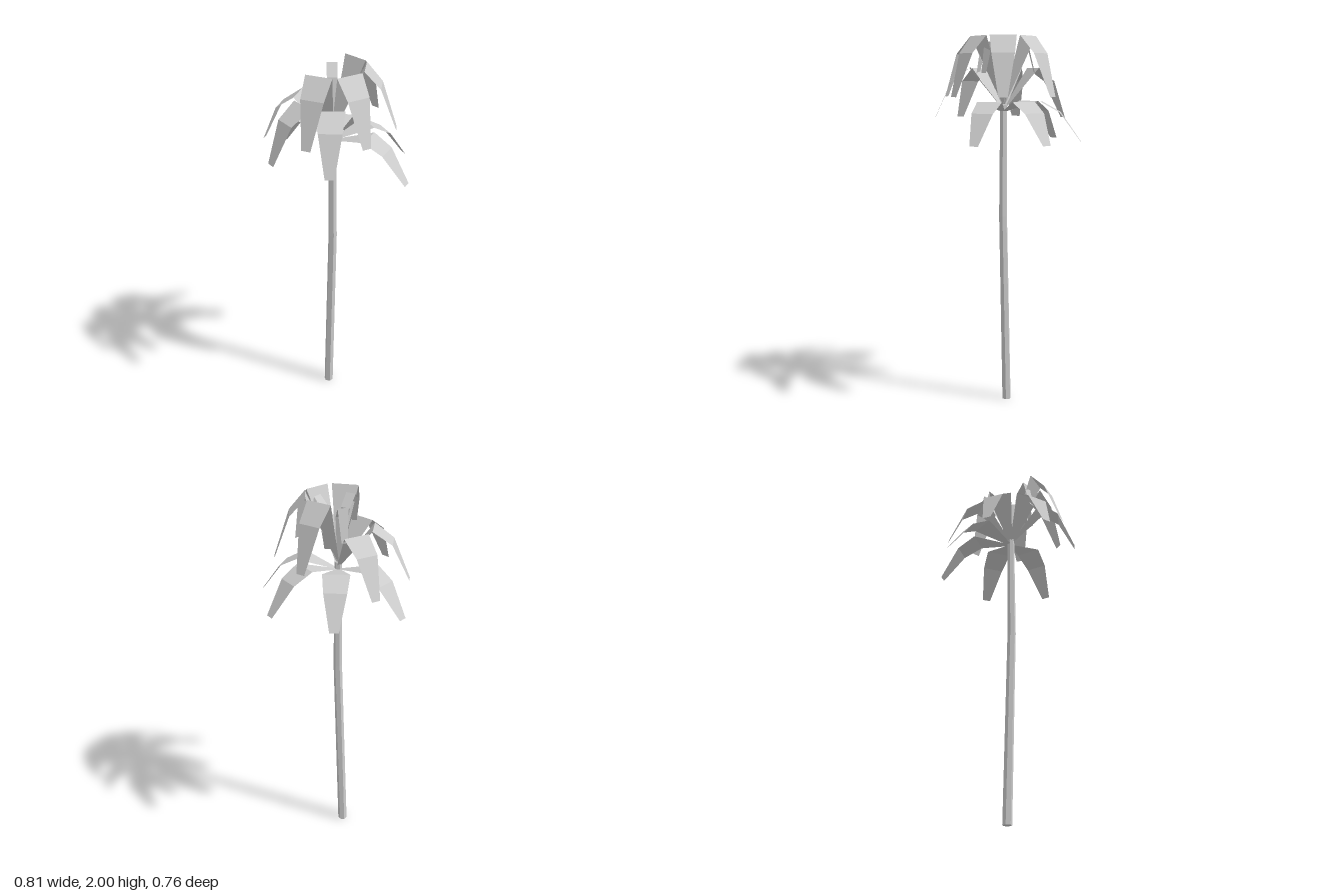
import * as THREE from 'three';

const CENTRE = new THREE.Vector3(0.003, 0, 0.018);

// Folded leaf: strip of cross-sections [distance out, height, width], pointing along +z
function leafGeometry(profile) {
  const positions = [];
  const index = [];
  profile.forEach(([out, y, width], i) => {
    positions.push(-width / 2, y, out, width / 2, y, out);
    if (i > 0) {
      const a = 2 * (i - 1);
      index.push(a, a + 2, a + 1, a + 1, a + 2, a + 3);
    }
  });
  const geometry = new THREE.BufferGeometry();
  geometry.setAttribute('position', new THREE.Float32BufferAttribute(positions, 3));
  geometry.setIndex(index);
  const flat = geometry.toNonIndexed();
  flat.computeVertexNormals();
  return flat;
}

// Each tier shares one leaf profile; tips are the [x, z] points the leaves aim at
const TIERS = [
  {
    name: 'lowerLeaf',
    profile: [[0, 1.61, 0.015], [0.2, 1.665, 0.137], [0.3, 1.61, 0.115], [0.412, 1.455, 0.046]],
    tips: [[-0.41, -0.022], [-0.215, -0.335], [0.15, -0.372], [0.4, -0.107]],
  },
  {
    name: 'middleLeaf',
    profile: [[0, 1.62, 0.015], [0.176, 1.84, 0.137], [0.275, 1.77, 0.115], [0.363, 1.575, 0.046]],
    tips: [[-0.325, -0.14], [-0.318, 0.182], [-0.06, 0.375], [0.25, 0.285]],
  },
  {
    name: 'upperLeaf',
    profile: [[0, 1.64, 0.012], [0.16, 2.0, 0.137], [0.24, 1.91, 0.118], [0.318, 1.69, 0.046]],
    tips: [[0.003, -0.3], [0.252, -0.175], [0.31, 0.097], [0.12, 0.308]],
  },
  {
    name: 'youngLeaf',
    profile: [[0, 1.63, 0.01], [0.07, 1.91, 0.052], [0.125, 1.97, 0.054], [0.165, 1.81, 0.03]],
    tips: [[-0.124, -0.108], [0.136, 0.017], [0.012, 0.147]],
  },
];

export function createModel() {
  const model = new THREE.Group();
  const grey = new THREE.MeshStandardMaterial({ color: 0xcccccc });
  grey.name = 'pale grey';
  grey.flatShading = true;
  grey.side = THREE.DoubleSide;

  // Six-sided trunk that leans to its middle, then rises straight
  const trunkGeometry = new THREE.CylinderGeometry(1, 1, 1, 6, 2);
  const rings = [
    { y: 0, x: -0.027, z: 0.021, r: 0.025 },
    { y: 1.05, x: 0.006, z: 0.019, r: 0.023 },
    { y: 1.65, x: 0.003, z: 0.018, r: 0.019 },
  ];
  const p = trunkGeometry.attributes.position;
  for (let i = 0; i < p.count; i++) {
    const ring = rings[Math.round((p.getY(i) + 0.5) * 2)];
    p.setXYZ(i, ring.x + p.getX(i) * ring.r, ring.y, ring.z + p.getZ(i) * ring.r);
  }
  trunkGeometry.computeVertexNormals();
  const trunk = new THREE.Mesh(trunkGeometry, grey);
  trunk.name = 'trunk';
  model.add(trunk);

  // Crown of leaves, tier by tier
  const crown = new THREE.Group();
  crown.name = 'crown';
  for (const { name, profile, tips } of TIERS) {
    const geometry = leafGeometry(profile);
    tips.forEach(([x, z], i) => {
      const leaf = new THREE.Mesh(geometry, grey);
      leaf.name = name + (i + 1);
      leaf.position.copy(CENTRE);
      leaf.rotation.y = Math.atan2(x - CENTRE.x, z - CENTRE.z);
      crown.add(leaf);
    });
  }
  model.add(crown);
  return model;
}
